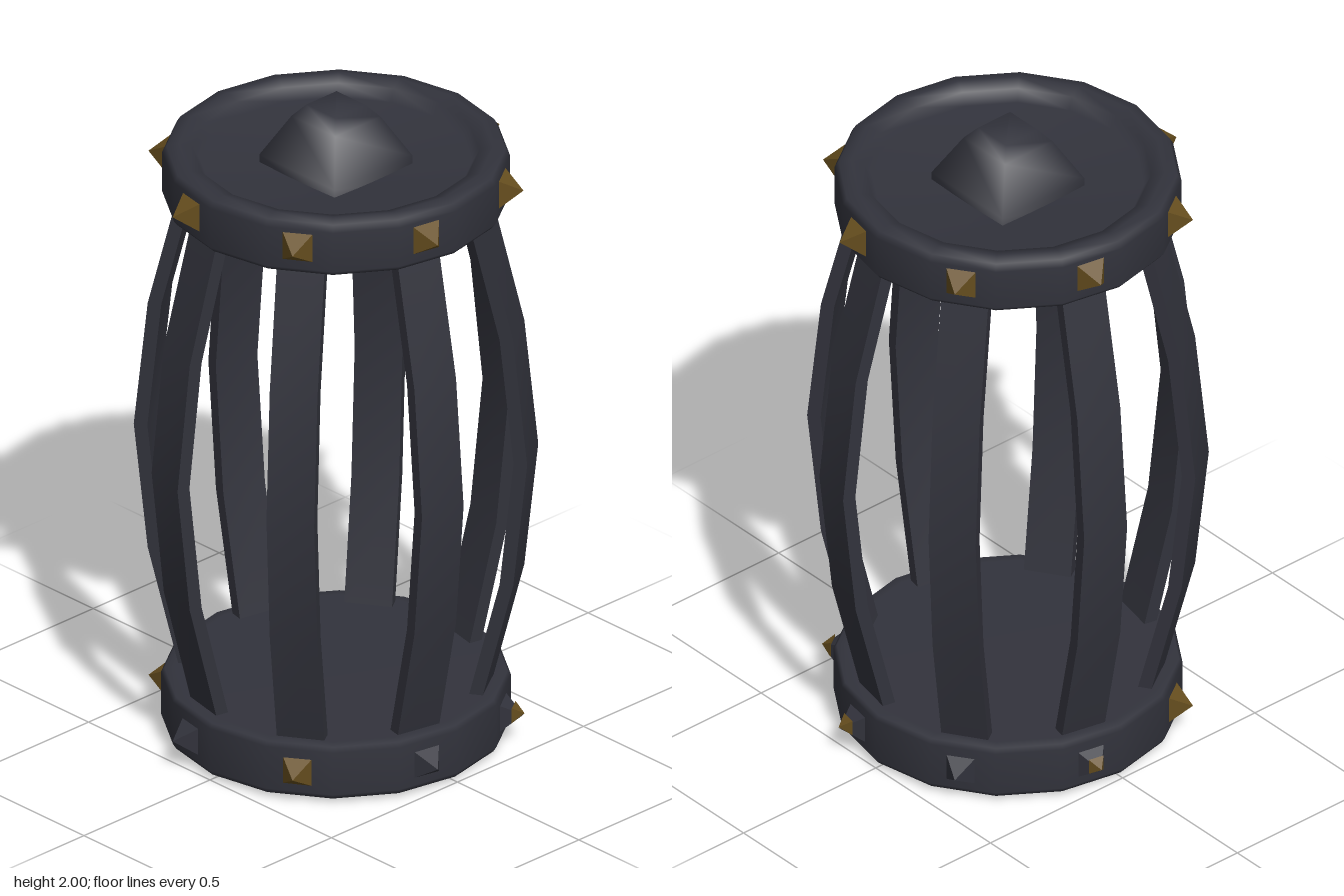
import * as THREE from 'three';

const iron = new THREE.MeshStandardMaterial({ color: 0x32333c });
iron.name = 'darkIron';
const brass = new THREE.MeshStandardMaterial({ color: 0x664e1e });
brass.name = 'agedBrass';

const COUNT = 8;
const START = THREE.MathUtils.degToRad(12);

function lathe(points, sides) {
  return new THREE.LatheGeometry(points.map(([r, y]) => new THREE.Vector2(r, y)), sides);
}

function part(name, geometry, material) {
  const mesh = new THREE.Mesh(geometry, material);
  mesh.name = name;
  return mesh;
}

// Flat bar bowed outwards along x
function barGeometry() {
  const g = new THREE.BoxGeometry(0.04, 1.57, 0.14, 1, 4, 1);
  const p = g.attributes.position;
  for (let i = 0; i < p.count; i++) {
    const t = Math.abs(p.getY(i)) / 0.76;
    p.setX(i, p.getX(i) + 0.557 - 0.13 * Math.pow(t, 1.75));
  }
  g.translate(0, 0.935, 0);
  g.computeVertexNormals();
  return g;
}

// Four-sided spike pointing along +x, from base radius to tip radius
function studGeometry(half, base, tip) {
  const g = new THREE.ConeGeometry(half * Math.SQRT2, tip - base, 4).toNonIndexed();
  g.rotateY(Math.PI / 4);
  g.rotateZ(-Math.PI / 2);
  g.translate((base + tip) / 2, 0, 0);
  g.computeVertexNormals();
  return g;
}

export function createModel() {
  const model = new THREE.Group();
  model.name = 'cage';

  // Solid base disc
  model.add(part('baseDisc', lathe([
    [0, 0], [0.46, 0.012], [0.49, 0.014], [0.5, 0.03],
    [0.5, 0.165], [0.49, 0.178], [0.46, 0.18], [0, 0.18],
  ], 16), iron));

  // Dished lid with a raised rim
  model.add(part('lid', lathe([
    [0, 1.71], [0.46, 1.695], [0.485, 1.695], [0.497, 1.71],
    [0.497, 1.835], [0.485, 1.855], [0.45, 1.863], [0.41, 1.85],
    [0.39, 1.815], [0, 1.795],
  ], 16), iron));

  // Square knob with sloping sides
  const s = Math.SQRT2;
  const knob = part('knob', lathe([
    [0.155 * s, 1.75], [0.155 * s, 1.83], [0.09 * s, 1.955], [0.06 * s, 1.992], [0, 2],
  ], 4), iron);
  knob.rotation.y = Math.PI / 4;
  model.add(knob);

  const bar = barGeometry();
  const stud = studGeometry(0.052, 0.475, 0.55);
  const tip = studGeometry(0.024, 0.521, 0.553);
  const brassLower = [3, 5];
  const tippedLower = [0, 1, 6];

  // Bars with one stud at each end
  for (let i = 0; i < COUNT; i++) {
    const spoke = new THREE.Group();
    spoke.name = 'barAndStuds' + (i + 1);
    spoke.rotation.y = -(START + (i * Math.PI * 2) / COUNT);
    spoke.add(part('bar', bar, iron));

    const upper = part('upperStud', stud, brass);
    upper.position.y = 1.78;
    spoke.add(upper);

    const lower = part('lowerStud', stud, brassLower.includes(i) ? brass : iron);
    lower.position.y = 0.095;
    spoke.add(lower);

    if (tippedLower.includes(i)) {
      const cap = part('lowerStudTip', tip, brass);
      cap.position.y = 0.1;
      spoke.add(cap);
    }
    model.add(spoke);
  }
  return model;
}
